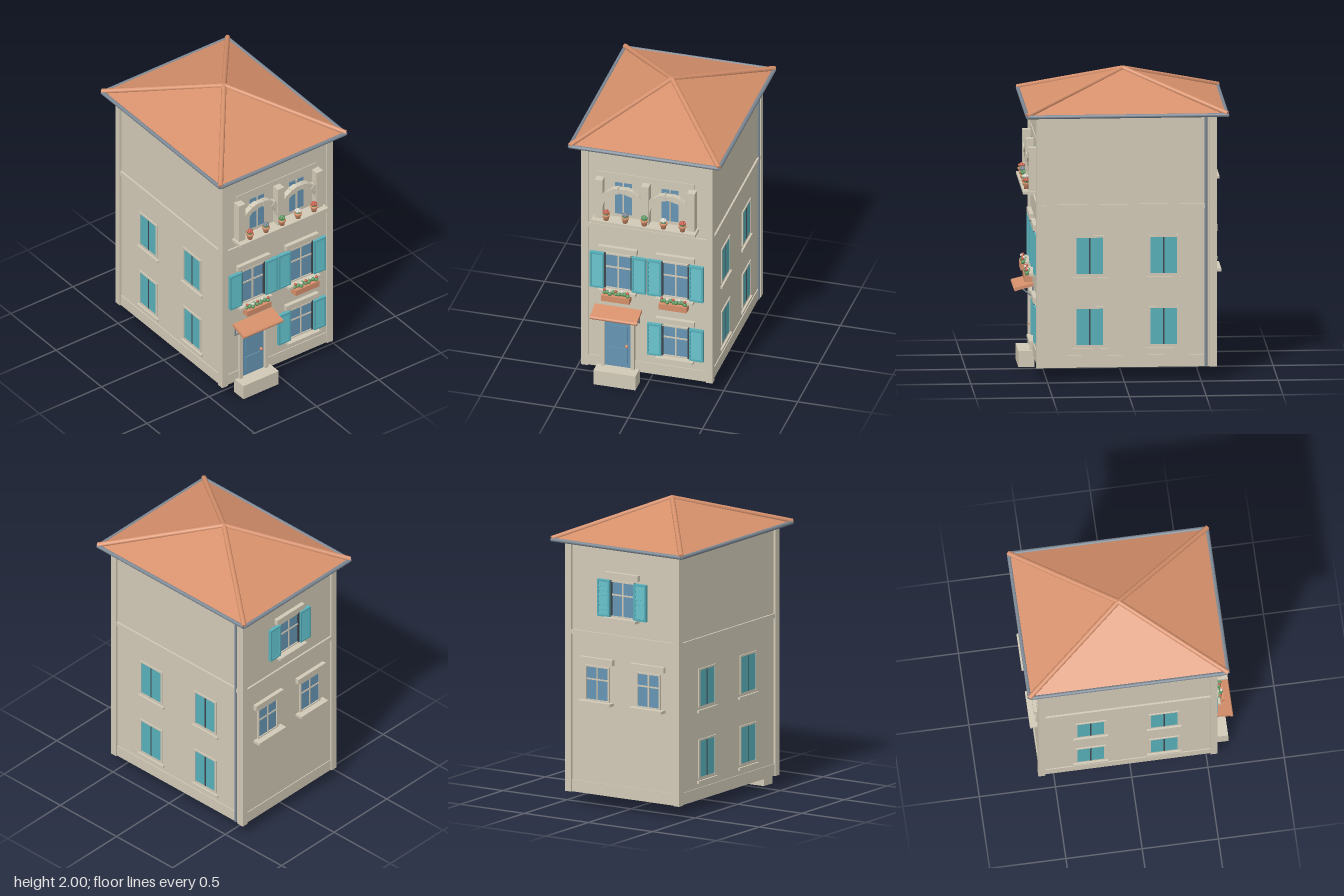
import * as THREE from 'three';

const paint = (name, color) => {
  const m = new THREE.MeshStandardMaterial({ color });
  m.name = name;
  return m;
};

export function createModel() {
  const stone = paint('stone', 0xd2cab7), clay = paint('terracotta', 0xd6906b);
  const teal = paint('teal', 0x58b0ba), blue = paint('blue', 0x6695b4);
  const metal = paint('metal', 0x7c8894), green = paint('leaf', 0x5f9a62);
  const red = paint('redFlower', 0xc9604e), white = paint('whiteFlower', 0xdedad0);
  const dark = paint('darkGap', 0x40474e);
  const house = new THREE.Group();
  house.name = 'townHouse';

  const add = (parent, name, geo, mat, x = 0, y = 0, z = 0) => {
    const m = new THREE.Mesh(geo, mat);
    m.name = name;
    m.position.set(x, y, z);
    parent.add(m);
    return m;
  };
  // box given by its min and max on each axis
  const box = (parent, name, mat, x0, x1, y0, y1, z0, z1) =>
    add(parent, name, new THREE.BoxGeometry(x1 - x0, y1 - y0, z1 - z0), mat, (x0 + x1) / 2, (y0 + y1) / 2, (z0 + z1) / 2);
  // round rod between two points
  const rod = (parent, name, mat, a, b, r, sides = 12) => {
    const p = new THREE.Vector3(...a), d = new THREE.Vector3(...b).sub(p);
    const m = add(parent, name, new THREE.CylinderGeometry(r, r, d.length(), sides), mat);
    m.position.copy(p).addScaledVector(d, 0.5);
    m.quaternion.setFromUnitVectors(new THREE.Vector3(0, 1, 0), d.normalize());
    return m;
  };
  const group = (parent, name, x, y, z, turn = 0) => {
    const g = new THREE.Group();
    g.name = name;
    g.position.set(x, y, z);
    g.rotation.y = turn;
    parent.add(g);
    return g;
  };

  // walls, bands and corner pilasters
  const ZC = -0.0175, FRONT = 0.555, BACK = -0.59, SIDE = 0.43;
  box(house, 'walls', stone, -SIDE, SIDE, 0.085, 1.765, BACK, FRONT);
  for (const [name, y0, y1, out] of [['plinth', 0.086, 0.165, 0.006], ['floorBand', 1.135, 1.165, 0.012], ['cornice', 1.73, 1.764, 0.008]])
    box(house, name, stone, -SIDE - out, SIDE + out, y0, y1, BACK - out, FRONT + out);
  for (const sx of [-1, 1]) for (const sz of [-1, 1])
    add(house, 'cornerPilaster', new THREE.BoxGeometry(0.046, 1.68, 0.046), stone, sx * 0.422, 0.925, ZC + sz * 0.5645);

  // hipped roof with ridge rolls and gutters
  const cone = new THREE.ConeGeometry(Math.SQRT1_2, 1, 4, 1).rotateY(Math.PI / 4).scale(1.0, 0.22, 1.3).toNonIndexed();
  cone.computeVertexNormals();
  add(house, 'roof', cone, clay, 0, 1.875, -0.02);
  const GX = 0.505, GZ = 0.65, RZ = -0.02;
  for (const s of [-1, 1]) {
    rod(house, 'gutter', metal, [-GX, 1.76, RZ + s * GZ], [GX, 1.76, RZ + s * GZ], 0.013);
    rod(house, 'gutter', metal, [s * GX, 1.76, RZ - GZ], [s * GX, 1.76, RZ + GZ], 0.013);
    for (const t of [-1, 1])
      rod(house, 'ridgeRoll', clay, [s * 0.505, 1.768, RZ + t * 0.652], [0, 1.982, RZ], 0.017);
  }
  rod(house, 'drainpipe', metal, [0.438, 0.09, -0.535], [0.438, 1.76, -0.535], 0.009);

  // louvred shutter, x is its centre
  const shutter = (g, x, w, h) => {
    box(g, 'shutterPanel', teal, x - w / 2, x + w / 2, -h / 2, h / 2, 0.002, 0.014);
    for (const s of [-1, 1]) {
      add(g, 'shutterStile', new THREE.BoxGeometry(0.012, h, 0.022), teal, x + s * (w / 2 - 0.006), 0, 0.015);
      add(g, 'shutterRail', new THREE.BoxGeometry(w, 0.014, 0.022), teal, x, s * (h / 2 - 0.007), 0.015);
    }
    const n = 7, step = (h - 0.028) / n;
    for (let i = 0; i < n; i++)
      add(g, 'slat', new THREE.BoxGeometry(w - 0.024, step * 0.95, 0.006), teal, x, (i - (n - 1) / 2) * step, 0.017).rotation.x = -0.3;
  };
  // glazed window with lintel, sill and optional shutters, centred at its origin
  const windowUnit = (x, y, z, h, turn, shutters) => {
    const g = group(house, 'window', x, y, z, turn), w = 0.18;
    box(g, 'glass', blue, -w / 2, w / 2, -h / 2, h / 2, -0.01, 0.004);
    for (const s of [-1, 1]) {
      add(g, 'jamb', new THREE.BoxGeometry(0.012, h + 0.01, 0.014), shutters ? dark : stone, s * (w / 2 - 0.001), 0, 0.005);
      add(g, 'frameRail', new THREE.BoxGeometry(w, 0.01, 0.014), stone, 0, s * h / 2, 0.005);
      if (shutters) shutter(g, s * 0.142, 0.096, h + 0.01);
    }
    box(g, 'mullion', stone, -0.005, 0.005, -h / 2, h / 2, 0, 0.009);
    box(g, 'transom', stone, -w / 2, w / 2, h * 0.12 - 0.005, h * 0.12 + 0.005, 0, 0.009);
    box(g, 'lintel', stone, -0.13, 0.13, h / 2 + 0.022, h / 2 + 0.06, 0, 0.028);
    box(g, 'sill', stone, -0.127, 0.127, -h / 2 - 0.022, -h / 2 - 0.003, 0, 0.053);
  };
  windowUnit(-0.195, 0.822, FRONT, 0.255, 0, true);
  windowUnit(0.193, 0.822, FRONT, 0.255, 0, true);
  windowUnit(0.193, 0.357, FRONT, 0.225, 0, true);
  windowUnit(0, 1.405, BACK, 0.235, Math.PI, true);
  for (const x of [-0.2, 0.2]) windowUnit(x, 0.825, BACK, 0.225, Math.PI, false);

  // closed side windows, two floors on both sides
  for (const s of [-1, 1]) for (const z of [0.222, -0.26]) for (const y of [0.825, 0.355]) {
    const g = group(house, 'sideWindow', s * SIDE, y, z, s * Math.PI / 2);
    box(g, 'closedShutters', teal, -0.087, 0.087, -0.12, 0.12, -0.005, 0.003);
    box(g, 'shutterGap', dark, -0.004, 0.004, -0.12, 0.12, 0, 0.005);
    for (const t of [-1, 1])
      add(g, 'jamb', new THREE.BoxGeometry(0.012, 0.252, 0.01), stone, t * 0.093, 0, 0.003);
    box(g, 'headFrame', stone, -0.099, 0.099, 0.12, 0.132, -0.002, 0.008);
    box(g, 'sill', stone, -0.113, 0.113, -0.16, -0.143, -0.002, 0.014);
  }

  // flower boxes under the first floor windows
  for (const x of [-0.195, 0.193]) {
    const g = group(house, 'flowerBox', x, 0, 0);
    box(g, 'planter', clay, -0.095, 0.095, 0.63, 0.672, 0.585, 0.637);
    for (let i = 0; i < 9; i++) {
      const px = -0.08 + i * 0.02;
      add(g, 'leaves', new THREE.SphereGeometry(0.014, 8, 6), green, px, 0.682 + (i % 2) * 0.006, 0.605 + (i % 3) * 0.008);
      if (i % 2 === 0)
        add(g, 'bloom', new THREE.SphereGeometry(0.01, 8, 6), i % 4 ? white : red, px, 0.705, 0.612 + (i % 3) * 0.006);
    }
  }

  // front door, frame, step and canopy
  const door = group(house, 'entrance', -0.195, 0, 0);
  for (const s of [-1, 1])
    add(door, 'doorJamb', new THREE.BoxGeometry(0.024, 0.41, 0.03), stone, s * 0.101, 0.29, 0.565);
  box(door, 'doorHead', stone, -0.113, 0.113, 0.47, 0.497, 0.55, 0.58);
  box(door, 'doorLeaf', blue, -0.09, 0.09, 0.1, 0.47, 0.55, 0.562);
  for (const [y0, y1] of [[0.135, 0.25], [0.295, 0.415]])
    box(door, 'doorPanel', blue, -0.062, 0.062, y0, y1, 0.56, 0.568);
  add(door, 'knob', new THREE.SphereGeometry(0.011, 12, 8), clay, 0.06, 0.272, 0.575);
  box(door, 'step', stone, -0.142, 0.142, 0, 0.105, 0.55, 0.655);
  const canopy = add(door, 'canopy', new THREE.BoxGeometry(0.316, 0.02, 0.122), clay, 0, 0.532, 0.617);
  canopy.rotation.x = 0.25;
  rod(door, 'canopyRoll', clay, [-0.16, 0.517, 0.674], [0.16, 0.517, 0.674], 0.012);
  for (const s of [-1, 1]) {
    rod(door, 'canopyStrut', metal, [s * 0.14, 0.462, 0.56], [s * 0.14, 0.515, 0.625], 0.005, 8);
    rod(door, 'canopyStay', metal, [s * 0.14, 0.455, 0.56], [s * 0.14, 0.53, 0.56], 0.005, 8);
  }

  // top floor loggia: back panel, windows, ledge, pillars
  const log = group(house, 'loggia', 0, 0, 0);
  box(log, 'backPanel', stone, -0.325, 0.32, 1.24, 1.565, 0.55, 0.56);
  box(log, 'ledge', stone, -0.355, 0.35, 1.22, 1.24, 0.55, 0.65);
  for (const x of [-0.315, -0.002, 0.31])
    box(log, 'pillar', stone, x - 0.026, x + 0.026, 1.24, 1.525, 0.55, 0.612);
  for (const x of [-0.16, 0.156]) {
    box(log, 'glass', blue, x - 0.057, x + 0.057, 1.265, 1.5, 0.555, 0.563);
    box(log, 'mullion', stone, x - 0.005, x + 0.005, 1.265, 1.5, 0.56, 0.567);
    // arch of wedge stones, cut off where it meets the pillars
    const n = 11, cy = 1.31;
    const point = (r, a) => new THREE.Vector2(THREE.MathUtils.clamp(r * Math.cos(a), -0.145, 0.145), r * Math.sin(a));
    for (let i = 0; i < n; i++) {
      const a = Math.PI * i / n, b = Math.PI * (i + 1) / n, out = i % 2 ? 0.166 : 0.172;
      const wedge = new THREE.Shape([point(0.13, a), point(out, a), point(out, b), point(0.13, b)]);
      add(log, 'archStone', new THREE.ExtrudeGeometry(wedge, { depth: i % 2 ? 0.036 : 0.04, bevelEnabled: false }), stone, x, cy, 0.567);
    }
  }

  // potted plants along the ledge
  const potProfile = [[0, 0], [0.016, 0], [0.021, 0.03], [0.026, 0.03], [0.026, 0.042], [0, 0.042]].map(p => new THREE.Vector2(...p));
  [red, metal, green, white, red].forEach((flower, i) => {
    const g = group(log, 'pottedPlant', -0.26 + i * 0.129, 1.24, 0.621);
    add(g, 'pot', new THREE.LatheGeometry(potProfile, 12), clay);
    add(g, 'leaves', new THREE.SphereGeometry(0.019, 10, 8), green, 0, 0.046, 0);
    for (let k = 0; k < 5; k++)
      add(g, 'bloom', new THREE.SphereGeometry(0.01, 8, 6), flower, 0.014 * Math.cos(k * 1.257), 0.058, 0.014 * Math.sin(k * 1.257));
    add(g, 'bloom', new THREE.SphereGeometry(0.012, 8, 6), flower, 0, 0.064, 0);
  });

  return house;
}
